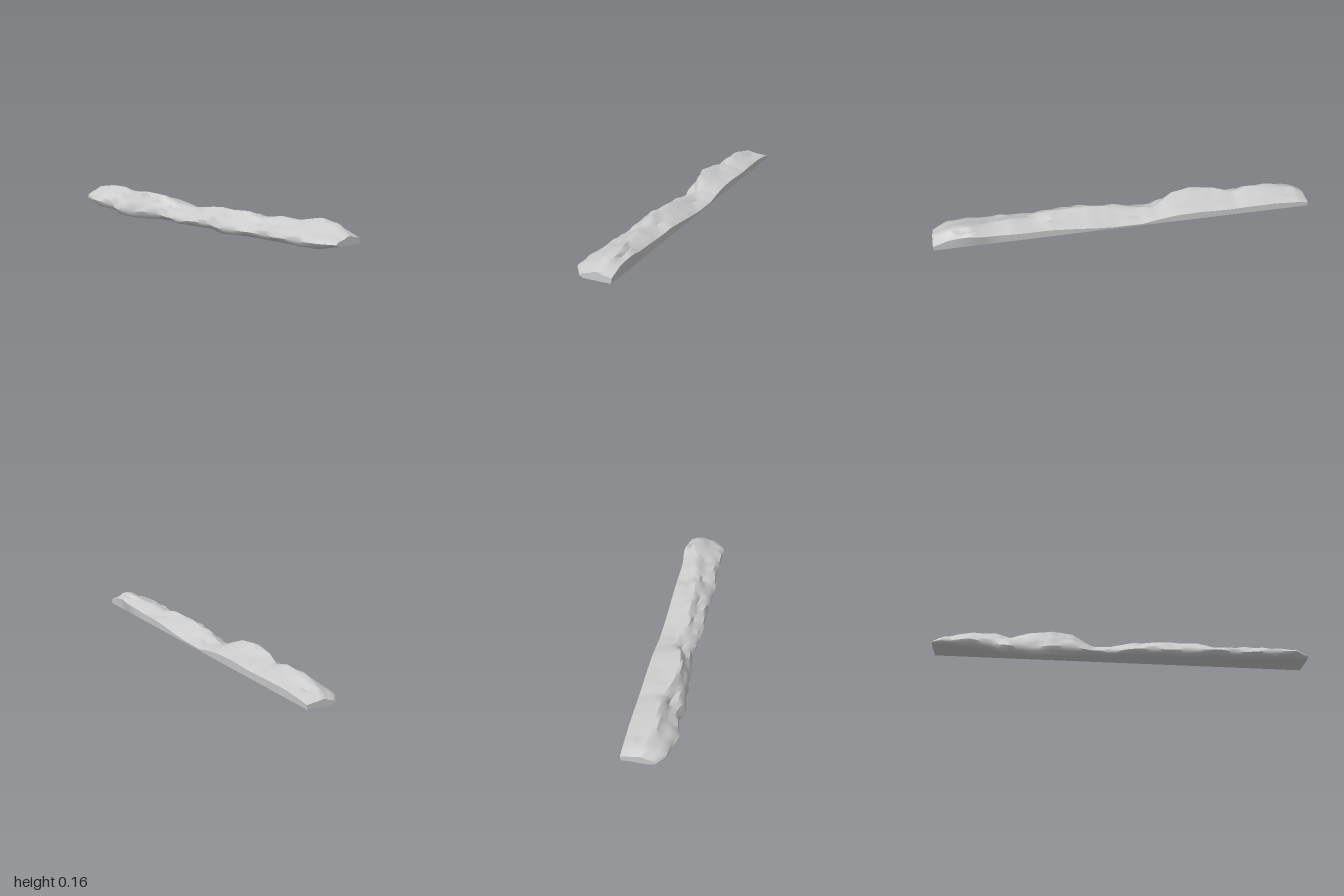
import * as THREE from 'three';
import { toCreasedNormals } from 'three/addons/utils/BufferGeometryUtils.js';

// Stations along the ledge: x, ridge height, lowest height, front z, ridge z, back wall height
const STATIONS = [
  [-1, 0.1, 0.062, 0.05, -0.02, 0.09],
  [-0.95, 0.127, 0.047, 0.093, -0.005, 0.098],
  [-0.8, 0.15, 0.03, 0.12, 0.005, 0.108],
  [-0.68, 0.155, 0.018, 0.095, 0.015, 0.108],
  [-0.6, 0.134, 0.005, 0.116, 0.01, 0.105],
  [-0.5, 0.15, 0, 0.105, 0.045, 0.106],
  [-0.38, 0.161, 0.01, 0.106, 0.05, 0.11],
  [-0.27, 0.154, 0.02, 0.09, 0.035, 0.108],
  [-0.16, 0.108, 0.025, 0.08, -0.01, 0.092],
  [-0.08, 0.108, 0.02, 0.093, 0, 0.077],
  [0.05, 0.125, 0.03, 0.1, 0.012, 0.078],
  [0.2, 0.145, 0.034, 0.098, 0.015, 0.09],
  [0.3, 0.143, 0.025, 0.114, 0.015, 0.1],
  [0.4, 0.148, 0.034, 0.11, 0.005, 0.108],
  [0.48, 0.128, 0.042, 0.11, -0.01, 0.108],
  [0.6, 0.147, 0.04, 0.095, -0.02, 0.112],
  [0.7, 0.143, 0.045, 0.103, -0.03, 0.118],
  [0.81, 0.164, 0.046, 0.108, -0.068, 0.134],
  [0.92, 0.15, 0.052, 0.105, -0.06, 0.12],
  [1, 0.11, 0.068, 0.05, -0.04, 0.092],
];

function stationAt(x) {
  let i = 0;
  while (i < STATIONS.length - 2 && x > STATIONS[i + 1][0]) i++;
  const a = STATIONS[i], b = STATIONS[i + 1];
  const t = (x - a[0]) / (b[0] - a[0]);
  return a.map((v, k) => THREE.MathUtils.lerp(v, b[k], t));
}

// Smooth, repeatable roughness
const rough = (x, k) =>
  Math.sin(x * 15 + k * 1.1) * 0.5 + Math.sin(x * 29 + k * 2.3) * 0.35 + Math.sin(x * 61 + k * 0.7) * 0.15;

// Roughness strength for each point of the cross-section
const ROUGHNESS = [0, 0.2, 1.3, 1.5, 0.9, 0.2, 0.8, 1, 1.1, 1.1, 0.8, 0.6, 0.4, 0.2, 0.1, 0.2, 0.2, 0.1];

// Cross-section as [z, y] pairs: up the back, over the top, down the front, back underneath
function section(x) {
  const [, top, low, front, ridge, back] = stationAt(x);
  const mix = THREE.MathUtils.lerp;
  const backZ = -0.11 - 0.012 * Math.exp(-(((x - 0.78) / 0.08) ** 2));
  const pinch = Math.exp(-(((x + 0.03) / 0.09) ** 2)) * Math.cos((x + 0.03) * 45);
  const lip = mix(low, top, 0.42);
  const nose = mix(low, top, 0.28);
  const base = 0.068;
  const heel = front - 0.045;
  const pts = [
    [-0.108, base],
    [backZ, back],
    [mix(backZ, ridge, 0.3), mix(back, top, 0.35)],
    [mix(backZ, ridge, 0.6), mix(back, top, 0.5)],
    [mix(backZ, ridge, 0.82), mix(back, top, 0.85)],
    [ridge, top],
    [mix(ridge, front, 0.2), mix(top, lip, 0.12)],
    [mix(ridge, front, 0.38), mix(top, lip, 0.45)],
    [mix(ridge, front, 0.58), mix(top, lip, 0.58)],
    [mix(ridge, front, 0.8), mix(top, lip, 0.76)],
    [front - 0.006, lip],
    [front, nose],
    [front - 0.007, mix(low, nose, 0.5)],
    [front - 0.022, mix(low, nose, 0.1)],
    [heel, low],
    [mix(heel, -0.108, 0.3), mix(low, base, 0.32)],
    [mix(heel, -0.108, 0.6), mix(low, base, 0.73) + 0.01 * pinch],
    [-0.085, mix(low, base, 0.94) + 0.01 * pinch],
  ];
  // The roughness dies out towards both ends
  const fade = Math.min(1, (1 - Math.abs(x)) * 12);
  return pts.map(([z, y], k) => {
    const amount = ROUGHNESS[k] * fade;
    return [
      z + (k > 1 ? rough(x, k) * 0.007 * amount : 0),
      y + rough(x + 3, k) * 0.0065 * amount,
    ];
  });
}

function rockGeometry() {
  const steps = 110, positions = [], index = [];
  let n = 0;
  for (let i = 0; i <= steps; i++) {
    const x = -1 + (2 * i) / steps;
    const ring = section(x);
    n = ring.length;
    for (const [z, y] of ring) positions.push(x, Math.max(0, y), z);
  }
  for (let i = 0; i < steps; i++) {
    for (let j = 0; j < n; j++) {
      const a = i * n + j, b = i * n + ((j + 1) % n);
      index.push(a, b, b + n, a, b + n, a + n);
    }
  }
  // End caps
  for (const [row, x] of [[0, -1], [steps, 1]]) {
    const centre = positions.length / 3;
    positions.push(x, 0.08, -0.04);
    for (let j = 0; j < n; j++) {
      const a = row * n + j, b = row * n + ((j + 1) % n);
      if (row) index.push(centre, a, b);
      else index.push(centre, b, a);
    }
  }
  const geometry = new THREE.BufferGeometry();
  geometry.setAttribute('position', new THREE.Float32BufferAttribute(positions, 3));
  geometry.setIndex(index);
  return toCreasedNormals(geometry, 0.7);
}

export function createModel() {
  const group = new THREE.Group();
  group.name = 'rockLedge';
  const rock = new THREE.Mesh(rockGeometry(), new THREE.MeshStandardMaterial({ color: 0xcccccc }));
  rock.name = 'rock';
  group.add(rock);
  return group;
}
